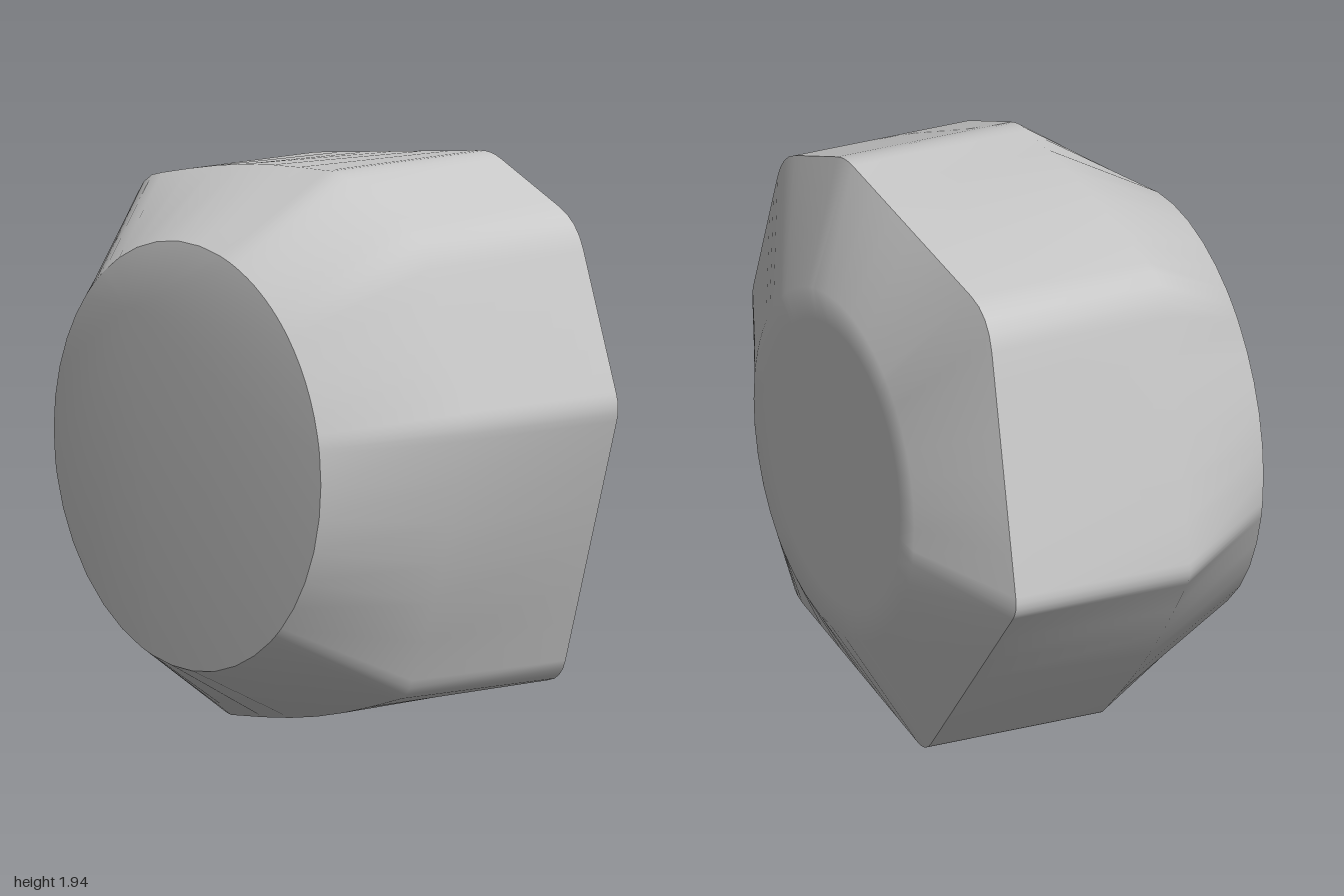
import * as THREE from 'three';

const CY = 0.97; // height of the body's axis

// Corners of the seven-sided outline: z, y, length cut off each side for rounding
const corners = [
  [1.01, 1.16, 0.05], [0.775, 1.77, 0.1], [0.3, 1.95, 0.06], [-0.79, 1.795, 0.13],
  [-1.01, 0.78, 0.05], [-0.315, -0.01, 0.06], [0.69, 0.185, 0.07],
];
// Outward swelling of the side following each corner
const swelling = [0, 0, 0.025, 0, 0.03, 0.03, 0.03];

// Rounded outline at a given x
function outline(x, swell) {
  const ring = [];
  const vec = (c) => new THREE.Vector2(c[0], c[1]);
  const n = corners.length;
  for (let i = 0; i < n; i++) {
    const p = vec(corners[i]);
    const prev = vec(corners[(i + n - 1) % n]);
    const next = vec(corners[(i + 1) % n]);
    const cut = corners[i][2];
    const a = p.clone().add(prev.sub(p).setLength(cut));
    const along = next.clone().sub(p).normalize();
    const b = p.clone().addScaledVector(along, cut);
    const bend = new THREE.QuadraticBezierCurve(a, p, b);
    for (let k = 0; k <= 4; k++) ring.push(bend.getPoint(k / 4));
    // Points along the side, pushed out where it swells
    const nextCut = corners[(i + 1) % n][2];
    const end = next.clone().addScaledVector(along, -nextCut);
    const normal = new THREE.Vector2(along.y, -along.x);
    for (let k = 1; k <= 5; k++) {
      const t = k / 6;
      ring.push(b.clone().lerp(end, t)
        .addScaledVector(normal, swell * swelling[i] * Math.sin(Math.PI * t)));
    }
  }
  return ring.map((q) => new THREE.Vector3(x, q.y, q.x));
}

// Circle whose points line up by angle with an outline
function circle(x, radius, guide) {
  return guide.map((p) => {
    const a = Math.atan2(p.y - CY, p.z);
    return new THREE.Vector3(x, CY + radius * Math.sin(a), radius * Math.cos(a));
  });
}

// Skin over rings ordered from -x to +x, with an optional closing point at either end
function skin(rings, startPoint, endPoint) {
  const n = rings[0].length;
  const points = rings.flat();
  const index = [];
  for (let r = 0; r + 1 < rings.length; r++) {
    for (let i = 0; i < n; i++) {
      const j = (i + 1) % n, a = r * n, b = a + n;
      index.push(a + i, b + i, b + j, a + i, b + j, a + j);
    }
  }
  if (startPoint) {
    points.push(startPoint);
    for (let i = 0; i < n; i++) index.push(points.length - 1, i, (i + 1) % n);
  }
  if (endPoint) {
    const a = (rings.length - 1) * n;
    points.push(endPoint);
    for (let i = 0; i < n; i++) index.push(points.length - 1, a + (i + 1) % n, a + i);
  }
  const geometry = new THREE.BufferGeometry().setFromPoints(points);
  geometry.setIndex(index);
  geometry.computeVertexNormals();
  return geometry;
}

export function createModel() {
  const group = new THREE.Group();
  group.name = 'facetedNut';
  const grey = new THREE.MeshStandardMaterial({ color: 0xc8c8c8 });
  grey.name = 'light grey';
  const add = (name, geometry) => {
    const mesh = new THREE.Mesh(geometry, grey);
    mesh.name = name;
    group.add(mesh);
  };

  const rim = outline(0.47, 0);
  const shoulder = outline(-0.19, 1);
  const base = circle(-0.6, 0.735, rim);

  // Sides, narrowing to a round base
  add('body', skin([base, shoulder, rim]));

  // Shallow, off-centre bulge closing the round base
  add('baseDisc', skin([base], new THREE.Vector3(-0.66, 1.45, -0.25)));

  // Bevelled face, softly shaded into its round flat
  add('bevelledFace', skin(
    [rim, circle(0.66, 0.61, rim), circle(0.66, 0.5, rim)],
    null, new THREE.Vector3(0.66, CY, 0),
  ));

  return group;
}
